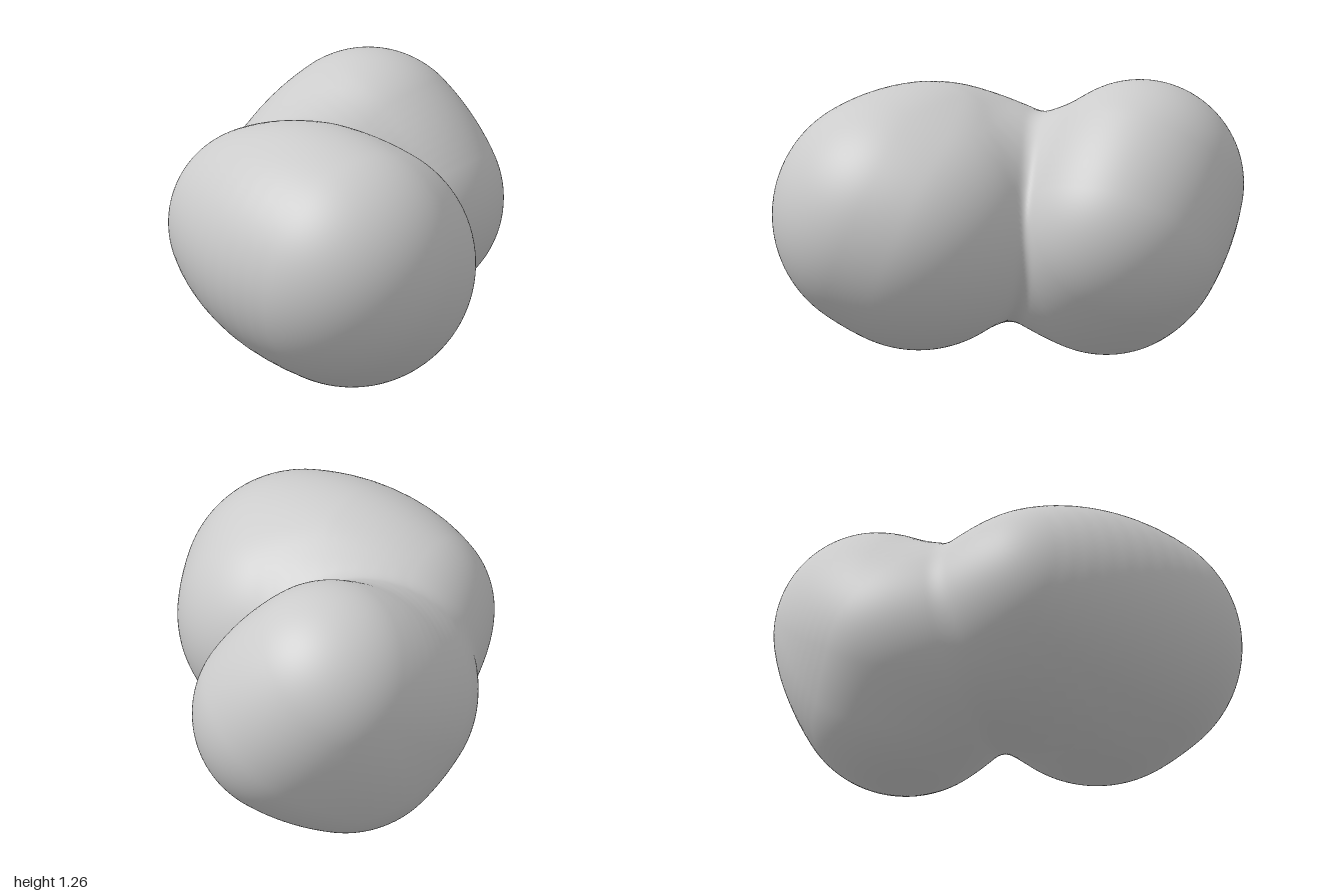
import * as THREE from 'three';
import { mergeVertices } from 'three/addons/utils/BufferGeometryUtils.js';

// Each lobe is the swollen hull of a few balls: [x, y, z, radius]
const FRONT_LOBE = [[0.24, 0.60, 0.34, 0.56], [0.27, 0.65, 0.45, 0.55], [-0.22, 0.71, 0.35, 0.44], [0.05, 0.695, 0.39, 0.53]];
const BACK_LOBE = [[-0.08, 0.60, -0.53, 0.47], [-0.25, 0.79, -0.53, 0.47], [-0.25, 0.50, -0.36, 0.50], [-0.36, 0.60, -0.28, 0.46]];
const NECK = [[-0.24, 0.60, 0.02, 0.43]];
const SWELL = 0.65; // how far the hull rounds out between its balls

// Fill the hull of four balls with evenly blended balls, fuller away from the corners
function fillHull(balls, n = 9) {
  const out = [];
  for (let i = 0; i <= n; i++) {
    for (let j = 0; j <= n - i; j++) {
      for (let k = 0; k <= n - i - j; k++) {
        const w = [i, j, k, n - i - j - k].map((v) => v / n);
        const ball = [0, 1, 2, 3].map((c) => balls.reduce((s, b, m) => s + b[c] * w[m], 0));
        const spread = balls.reduce((s, b, m) =>
          s + w[m] * ((b[0] - ball[0]) ** 2 + (b[1] - ball[1]) ** 2 + (b[2] - ball[2]) ** 2), 0);
        ball[3] += SWELL * spread;
        out.push(ball);
      }
    }
  }
  return out;
}

function distance(balls, p) {
  let best = Infinity;
  for (const [x, y, z, r] of balls) {
    const dx = p.x - x, dy = p.y - y, dz = p.z - z;
    best = Math.min(best, Math.sqrt(dx * dx + dy * dy + dz * dz) - r);
  }
  return best;
}

function softMin(a, b, blend) {
  const h = Math.max(blend - Math.abs(a - b), 0);
  return Math.min(a, b) - (h * h) / (4 * blend);
}

export function createModel() {
  const front = fillHull(FRONT_LOBE);
  const back = fillHull(BACK_LOBE);
  // The lobes meet in a crisp crease, which the neck softens on its left, top and underside
  const field = (p) => {
    const lobes = softMin(distance(back, p), distance(front, p), 0.06);
    return softMin(lobes, distance(NECK, p), 0.2);
  };

  // Shrink a fine sphere, centred in the neck, onto the blended lobes
  let geometry = new THREE.IcosahedronGeometry(1, 38);
  geometry.deleteAttribute('normal');
  geometry.deleteAttribute('uv');
  geometry = mergeVertices(geometry, 1e-5);
  const centre = new THREE.Vector3(-0.11, 0.6, -0.09);
  const pos = geometry.attributes.position;
  const dir = new THREE.Vector3(), p = new THREE.Vector3();
  for (let i = 0; i < pos.count; i++) {
    dir.fromBufferAttribute(pos, i).normalize();
    let t = 1.5;
    for (let step = 0; step < 40; step++) {
      const d = field(p.copy(centre).addScaledVector(dir, t));
      t -= d;
      if (Math.abs(d) < 0.0005) break;
    }
    p.copy(centre).addScaledVector(dir, t);
    pos.setXYZ(i, p.x, p.y, p.z);
  }

  // Centre on x and z and stand on the ground
  geometry.computeBoundingBox();
  const box = geometry.boundingBox;
  const mid = box.getCenter(new THREE.Vector3());
  geometry.translate(-mid.x, -box.min.y, -mid.z);
  geometry.computeVertexNormals();

  const body = new THREE.Mesh(geometry, new THREE.MeshStandardMaterial({ color: 0xcccccc }));
  body.name = 'twoLobedBody';
  const group = new THREE.Group();
  group.name = 'twoLobedRock';
  group.add(body);
  return group;
}
